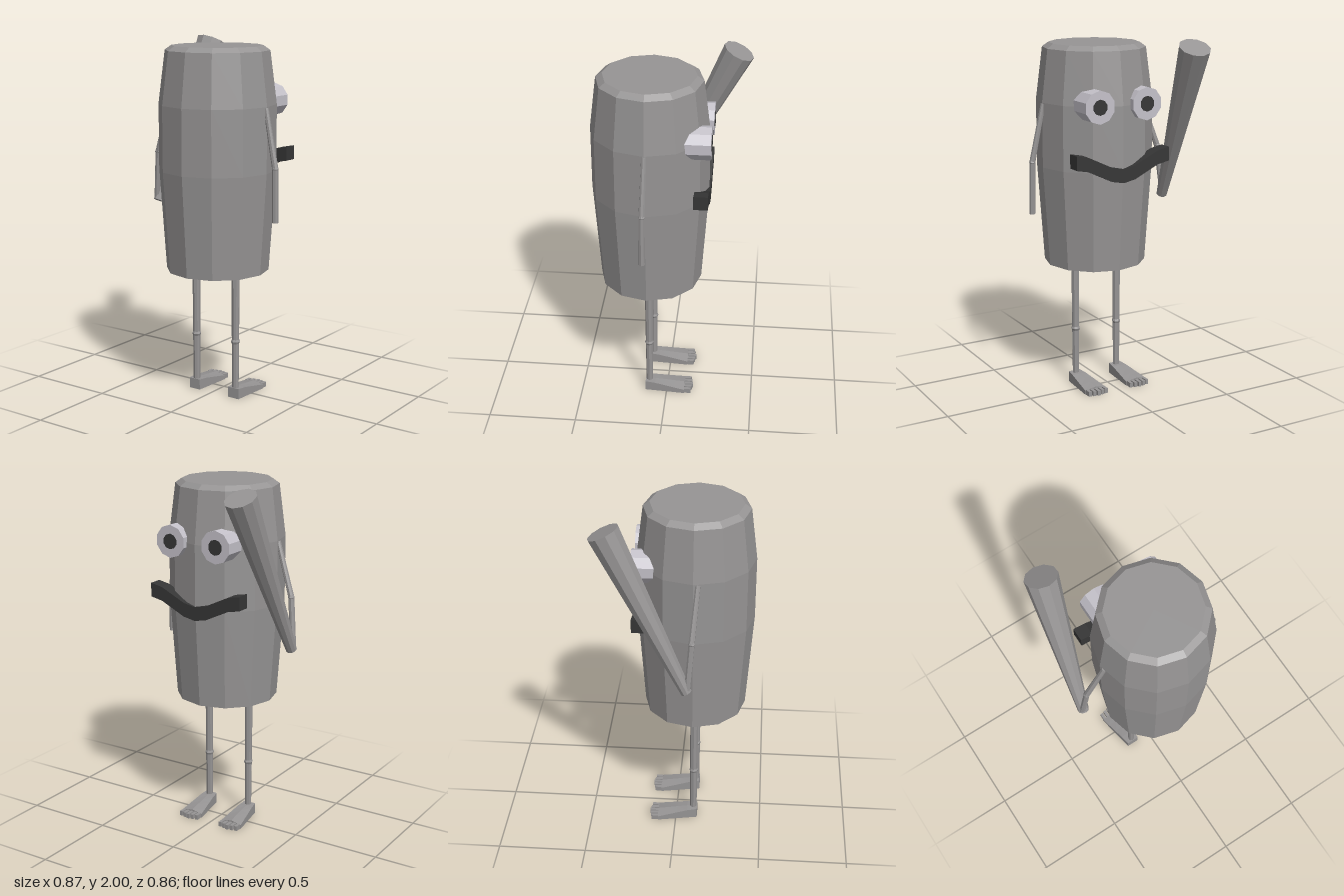
import * as THREE from 'three';

const mat = (name, color) => {
  const m = new THREE.MeshStandardMaterial({ color, flatShading: true });
  m.name = name;
  return m;
};

export function createModel() {
  const root = new THREE.Group();
  root.name = 'barrelFigure';
  const grey = mat('grey', 0x969494);
  const pale = mat('paleGrey', 0xc4c1c9);
  const dark = mat('darkGrey', 0x363636);

  const add = (name, geo, material, parent = root) => {
    const m = new THREE.Mesh(geo, material);
    m.name = name;
    parent.add(m);
    return m;
  };

  // Tapered rod running from point a to point b
  const rod = (name, a, b, ra, rb, sides, parent = root) => {
    const A = new THREE.Vector3(...a), B = new THREE.Vector3(...b);
    const d = B.clone().sub(A);
    const m = add(name, new THREE.CylinderGeometry(rb, ra, d.length(), sides), grey, parent);
    m.position.copy(A).add(B).multiplyScalar(0.5);
    m.quaternion.setFromUnitVectors(new THREE.Vector3(0, 1, 0), d.normalize());
    return m;
  };

  // Twelve-sided barrel body
  const profile = [[0, 0.735], [0.286, 0.735], [0.324, 1.3], [0.324, 1.66],
    [0.287, 1.95], [0.252, 1.975], [0, 1.975]].map(([r, y]) => new THREE.Vector2(r, y));
  add('body', new THREE.LatheGeometry(profile, 12), grey).position.set(0.028, 0, 0.1);

  // Foot: box narrowed at the heel, sloping down and fanning out to the toes
  const footGeometry = () => {
    const g = new THREE.BoxGeometry(1, 1, 0.23, 2, 1, 4);
    const p = g.attributes.position;
    for (let i = 0; i < p.count; i++) {
      const t = 0.5 - p.getZ(i) / 0.23;
      const width = 0.072 + 0.058 * t;
      const top = t < 0.2 ? 0.06 : 0.06 - 0.03 * (t - 0.2);
      const crown = Math.abs(p.getX(i)) > 0.1 ? 0.012 : 0;
      p.setXYZ(i, p.getX(i) * width - 0.014 * t,
        p.getY(i) > 0 ? top - crown * t : 0, 0.125 - 0.23 * t);
    }
    return g;
  };

  for (const [side, x] of [['right', -0.118], ['left', 0.153]]) {
    const leg = new THREE.Group();
    leg.name = side + 'Leg';
    leg.position.x = x;
    root.add(leg);
    rod('thigh', [0, 0.33, 0.103], [0, 0.76, 0.103], 0.021, 0.023, 8, leg);
    rod('shin', [0, 0.04, 0.103], [0, 0.33, 0.103], 0.019, 0.021, 8, leg);
    add('knee', new THREE.SphereGeometry(0.026, 8, 4), grey, leg).position.set(0, 0.33, 0.103);
    add('foot', footGeometry(), grey, leg);
    // Five toes, the outer ones shorter
    for (let i = 0; i < 5; i++) {
      const tx = -0.066 + i * 0.026;
      const len = 0.05 - 0.006 * Math.abs(i - 2);
      add('toe', new THREE.BoxGeometry(0.018, 0.028, len), grey, leg)
        .position.set(tx, 0.014, -0.105 - len / 2);
    }
  }

  // Arms bent at the elbow
  const arms = {
    left: [[0.345, 1.655, 0.1], [0.412, 1.335, 0.108], [0.416, 1.043, 0.11]],
    right: [[-0.285, 1.655, 0.125], [-0.387, 1.36, 0.1], [-0.415, 1.085, 0.08]],
  };
  for (const [side, [shoulder, elbow, hand]] of Object.entries(arms)) {
    const arm = new THREE.Group();
    arm.name = side + 'Arm';
    root.add(arm);
    rod('upperArm', shoulder, elbow, 0.014, 0.017, 8, arm);
    rod('forearm', elbow, hand, 0.017, 0.017, 8, arm);
    add('elbow', new THREE.SphereGeometry(0.019, 8, 4), grey, arm).position.set(...elbow);
  }

  // Club held in the right hand
  rod('club', [-0.408, 1.07, 0.075], [-0.338, 1.965, -0.352], 0.031, 0.089, 10);

  // Stubby eyes with dark pupils
  for (const x of [-0.112, 0.178]) {
    const eye = new THREE.Group();
    eye.name = 'eye';
    eye.position.set(x, 1.665, 0);
    root.add(eye);
    const ball = add('eyeball', new THREE.CylinderGeometry(0.091, 0.091, 0.17, 10), pale, eye);
    ball.rotation.x = -Math.PI / 2;
    ball.position.z = -0.154;
    const pupil = add('pupil', new THREE.CylinderGeometry(0.043, 0.043, 0.004, 10), dark, eye);
    pupil.rotation.x = -Math.PI / 2;
    pupil.position.z = -0.24;
  }

  // Smiling mouth: a bar bent upward at both ends
  const mouth = new THREE.BoxGeometry(0.575, 0.078, 0.077, 8, 1, 1);
  const p = mouth.attributes.position;
  for (let i = 0; i < p.count; i++) {
    const u = p.getX(i) / 0.2875;
    p.setY(i, p.getY(i) + 0.0485 * (1 - Math.cos(Math.PI * u)));
  }
  add('mouth', mouth, dark).position.set(0.028, 1.279, -0.193);

  return root;
}
